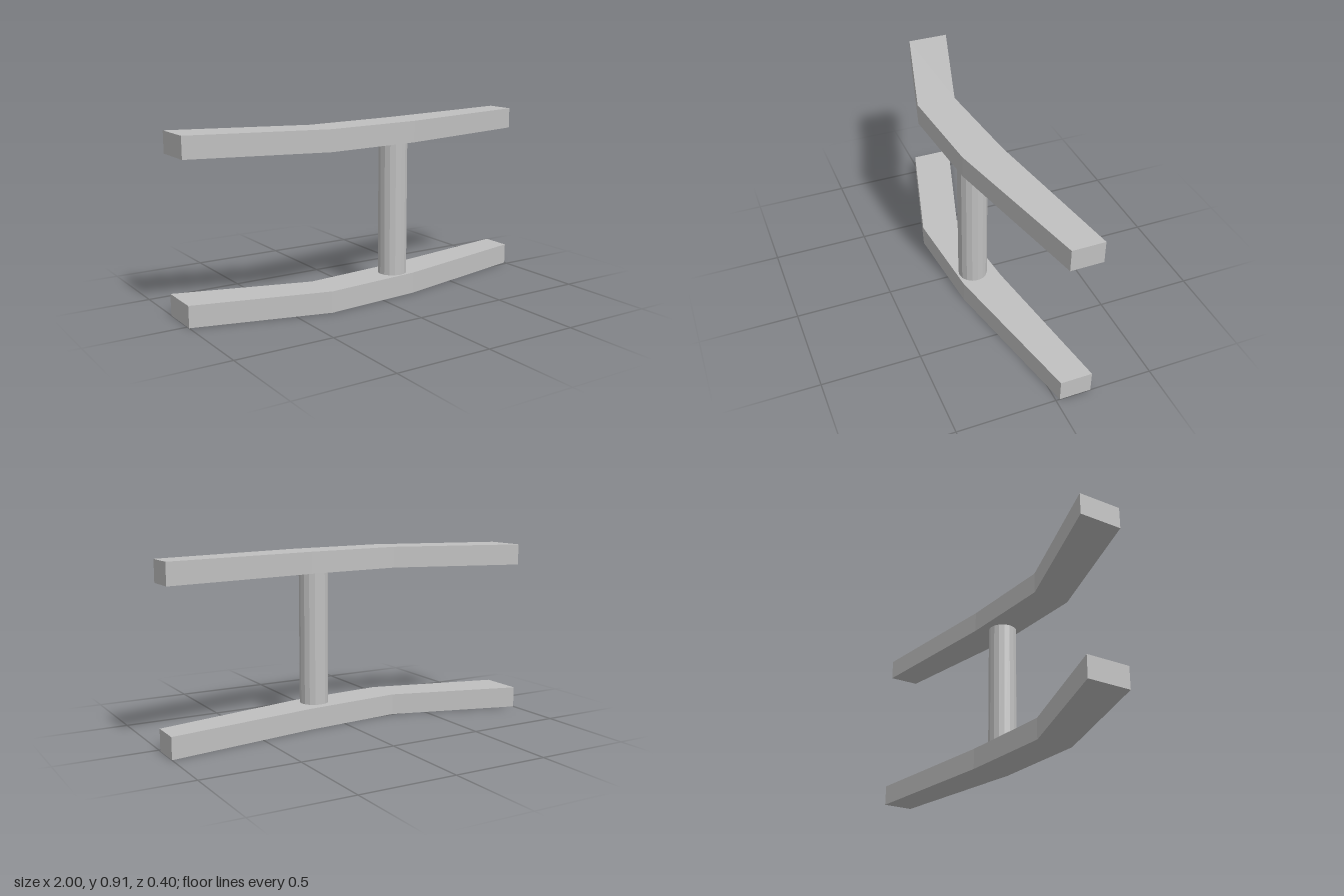
import * as THREE from 'three';

const BEAM_HEIGHT = 0.11;
const TOTAL_HEIGHT = 0.91;

// Bent beam: back edge left to right, then front edge back again, as [x, z]
const BEAM_OUTLINE = [
  [-1, -0.2], [-0.32, 0], [0.2, -0.05], [1, -0.18],
  [1, -0.02], [0.2, 0.155], [-0.32, 0.2], [-1, 0.02],
];

export function createModel() {
  const group = new THREE.Group();
  const grey = new THREE.MeshStandardMaterial({ color: 0xc0c0c0, flatShading: true });
  grey.name = 'grey';

  // Plan outline extruded upwards
  const shape = new THREE.Shape(BEAM_OUTLINE.map(([x, z]) => new THREE.Vector2(x, -z)));
  const beamGeometry = new THREE.ExtrudeGeometry(shape, { depth: BEAM_HEIGHT, bevelEnabled: false });
  beamGeometry.rotateX(-Math.PI / 2);

  // Matching lower and upper beams
  for (const [name, y] of [['lowerBeam', 0], ['upperBeam', TOTAL_HEIGHT - BEAM_HEIGHT]]) {
    const beam = new THREE.Mesh(beamGeometry, grey);
    beam.name = name;
    beam.position.y = y;
    group.add(beam);
  }

  // Round post between the beams
  const postHeight = TOTAL_HEIGHT - 2 * BEAM_HEIGHT;
  const post = new THREE.Mesh(new THREE.CylinderGeometry(0.075, 0.075, postHeight, 16), grey);
  post.name = 'post';
  post.position.set(0.123, TOTAL_HEIGHT / 2, 0.076);
  group.add(post);

  return group;
}
